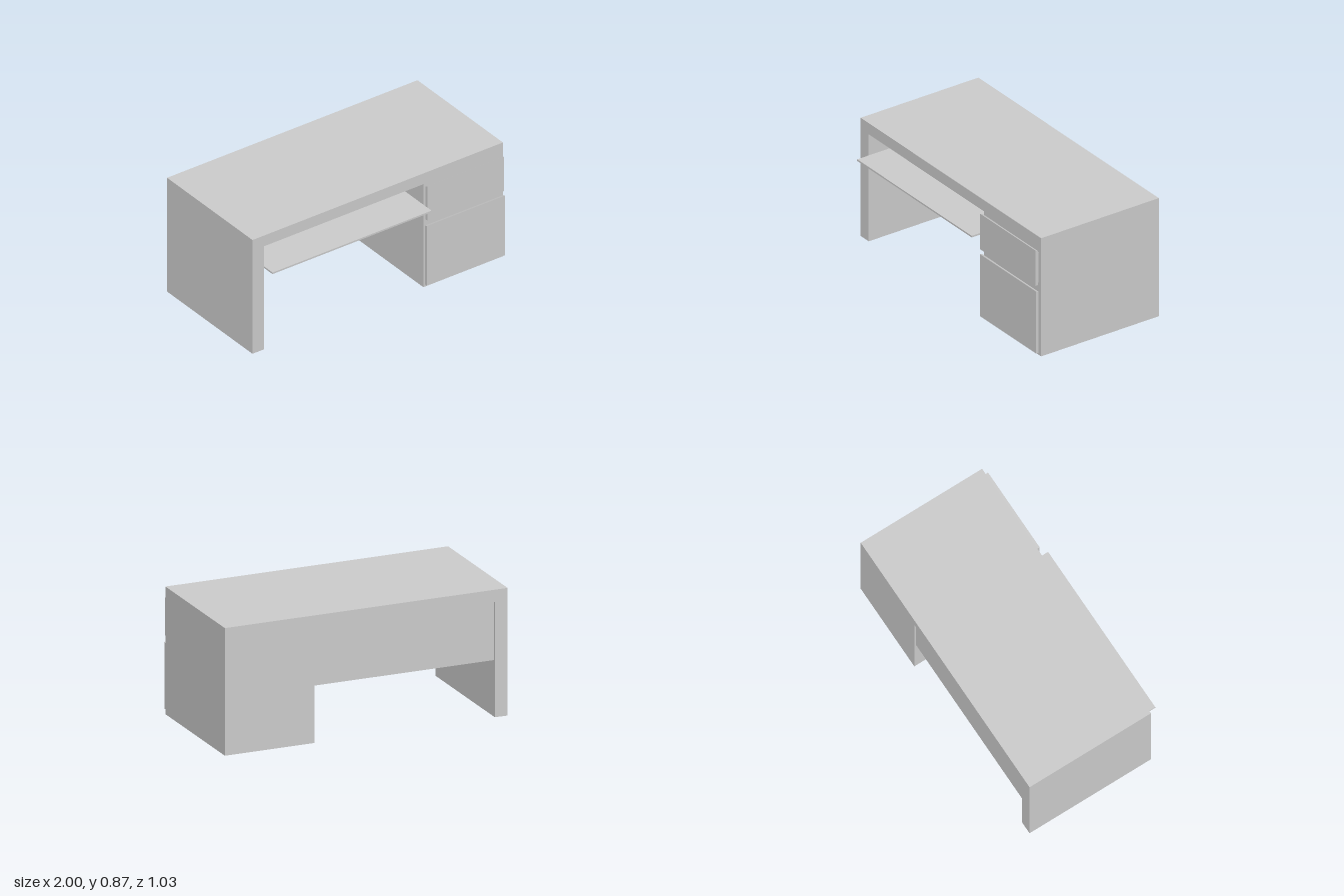
import * as THREE from 'three';

const mat = new THREE.MeshStandardMaterial({ color: 0xcccccc, flatShading: true, side: THREE.DoubleSide });

const BACK = -0.513, FRONT = 0.42, TOP = 0.867;
const OPEN_L = -0.91, OPEN_R = 0.365, OPEN_TOP = 0.785;

function add(parent, name, geometry) {
  const mesh = new THREE.Mesh(geometry, mat);
  mesh.name = name;
  parent.add(mesh);
  return mesh;
}

// Box given by its lower and upper limits on each axis
function addBox(parent, name, [x0, x1], [y0, y1], [z0, z1]) {
  const mesh = add(parent, name, new THREE.BoxGeometry(x1 - x0, y1 - y0, z1 - z0));
  mesh.position.set((x0 + x1) / 2, (y0 + y1) / 2, (z0 + z1) / 2);
}

// Thin sheet running front to back along one edge of the desk outline
function addSheet(parent, name, [xa, ya], [xb, yb]) {
  const length = Math.hypot(xb - xa, yb - ya);
  const geometry = new THREE.PlaneGeometry(length, FRONT - BACK);
  geometry.rotateX(-Math.PI / 2).rotateZ(Math.atan2(yb - ya, xb - xa));
  const mesh = add(parent, name, geometry);
  mesh.position.set((xa + xb) / 2, (ya + yb) / 2, (FRONT + BACK) / 2);
}

// Drawer: box reaching into the cabinet, and a front with a sloping top edge
function addDrawer(parent, name, { x, y, boxY, slope, face }) {
  const drawer = new THREE.Group();
  drawer.name = name;
  addBox(drawer, 'drawerBox', [0.385, 0.972], boxY, [-0.34, 0.433]);
  const profile = new THREE.Shape([
    new THREE.Vector2(0.433, y[0]),
    new THREE.Vector2(face, y[0]),
    new THREE.Vector2(face, y[1]),
    new THREE.Vector2(0.433, y[1] - slope),
  ]);
  const front = new THREE.ExtrudeGeometry(profile, { depth: x[1] - x[0], bevelEnabled: false });
  front.rotateY(-Math.PI / 2).translate(x[1], 0, 0);
  add(drawer, 'drawerFront', front);
  parent.add(drawer);
}

export function createModel() {
  const desk = new THREE.Group();
  desk.name = 'desk';

  // Hollow shell, open underneath the leg and the cabinet
  const shell = new THREE.Group();
  shell.name = 'shell';
  desk.add(shell);
  const outline = [
    [-1, 0], [-1, TOP], [1, TOP], [1, 0],
    [OPEN_R, 0], [OPEN_R, OPEN_TOP], [OPEN_L, OPEN_TOP], [OPEN_L, 0],
  ];
  const names = ['legOuterSide', 'desktop', 'cabinetOuterSide', null,
    'cabinetInnerSide', 'desktopUnderside', 'legInnerSide', null];
  names.forEach((name, i) => {
    if (name) addSheet(shell, name, outline[i], outline[(i + 1) % outline.length]);
  });
  const face = new THREE.Shape(outline.map(([x, y]) => new THREE.Vector2(x, y)));
  add(shell, 'shellFront', new THREE.ShapeGeometry(face)).position.z = FRONT;
  add(shell, 'shellBack', new THREE.ShapeGeometry(face).rotateY(Math.PI).scale(-1, 1, 1)).position.z = BACK;

  // Slightly recessed panel closing the back of the knee space
  addBox(desk, 'backPanel', [OPEN_L, OPEN_R], [0.385, OPEN_TOP], [-0.5, -0.483]);

  // Sliding keyboard tray
  addBox(desk, 'keyboardTray', [-0.908, 0.362], [0.62, 0.632], [-0.34, 0.513]);

  // Drawers
  addDrawer(desk, 'upperDrawer', { x: [0.373, 0.985], y: [0.521, 0.781], boxY: [0.53, 0.752], slope: 0.01, face: 0.455 });
  addDrawer(desk, 'lowerDrawer', { x: [0.368, 0.992], y: [0.027, 0.482], boxY: [0.035, 0.458], slope: 0.007, face: 0.453 });

  return desk;
}
